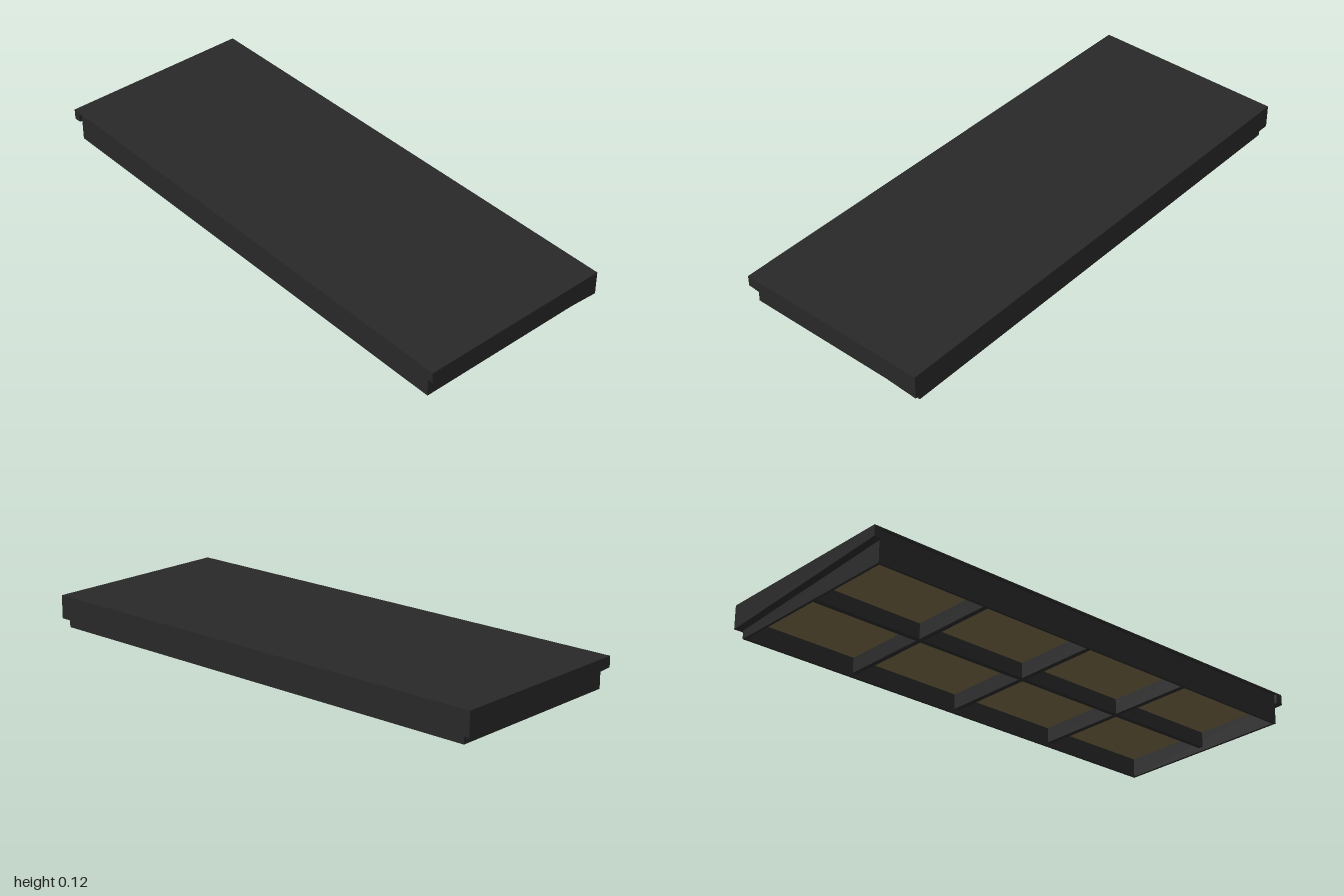
import * as THREE from 'three';

export function createModel() {
  const model = new THREE.Group();
  const charcoal = new THREE.MeshStandardMaterial({ color: 0x282828 });
  charcoal.name = 'charcoal metal';
  const amber = new THREE.MeshStandardMaterial({ color: 0x756643 });
  amber.name = 'amber glass';

  const add = (name, geometry, x, y, z, material = charcoal) => {
    const mesh = new THREE.Mesh(geometry, material);
    mesh.name = name;
    mesh.position.set(x, y, z);
    model.add(mesh);
  };
  const box = (name, w, h, d, x, y, z, material) =>
    add(name, new THREE.BoxGeometry(w, h, d), x, y, z, material);

  const top = 0.125, plateY = 0.119, frontY = 0.083, backY = 0.032;
  const outX = 1, outZ = 0.392, inX = 0.97, inZ = 0.381;
  const rail = 0.01, bar = 0.02, glassY = 0.076, paneT = 0.004;
  const coreY = glassY + paneT;

  // Thin roof plate overhanging a solid core
  box('roofPlate', inX * 2, top - plateY, outZ * 2, 0, (top + plateY) / 2, 0);
  box('roofCore', inX * 2, plateY - coreY, inZ * 2, 0, (plateY + coreY) / 2, 0);

  // Tapered side cheeks, deeper towards the back
  const profile = new THREE.Shape([
    new THREE.Vector2(-outZ, top), new THREE.Vector2(-outZ, frontY),
    new THREE.Vector2(outZ, backY), new THREE.Vector2(outZ, top),
  ]);
  const cheek = new THREE.ExtrudeGeometry(profile, { depth: outX - inX, bevelEnabled: false });
  cheek.rotateY(Math.PI / 2);
  add('leftCheek', cheek, inX, 0, 0);
  add('rightCheek', cheek, -outX, 0, 0);

  // Back fascia between the cheeks
  box('backFascia', inX * 2, plateY - backY, outZ - inZ, 0, (plateY + backY) / 2, -(inZ + outZ) / 2);

  // Thin rails of the lower frame
  for (const s of [1, -1]) {
    box(s > 0 ? 'frontRail' : 'backRail', inX * 2, coreY, rail, 0, coreY / 2, s * (inZ - rail / 2));
    box(s > 0 ? 'leftRail' : 'rightRail', rail, coreY, (inZ - rail) * 2, s * (inX - rail / 2), coreY / 2, 0);
  }

  // Dividers, set slightly above the rail bottoms: one lengthwise, three crosswise
  const spanX = (inX - rail) * 2, spanZ = (inZ - rail) * 2;
  const paneW = (spanX - 3 * bar) / 4, paneD = (spanZ - bar) / 2;
  const barY = 0.015;
  box('longDivider', spanX, coreY - barY, bar, 0, (coreY + barY) / 2, 0);
  for (let i = -1; i <= 1; i++) {
    for (const s of [1, -1]) {
      box('crossDivider', bar, coreY - barY, paneD, i * (paneW + bar), (coreY + barY) / 2, s * (paneD + bar) / 2);
    }
  }

  // Eight recessed panes
  for (let i = 0; i < 4; i++) {
    for (const s of [1, -1]) {
      box('pane', paneW, paneT, paneD, (i - 1.5) * (paneW + bar), glassY + paneT / 2, s * (paneD + bar) / 2, amber);
    }
  }
  return model;
}
